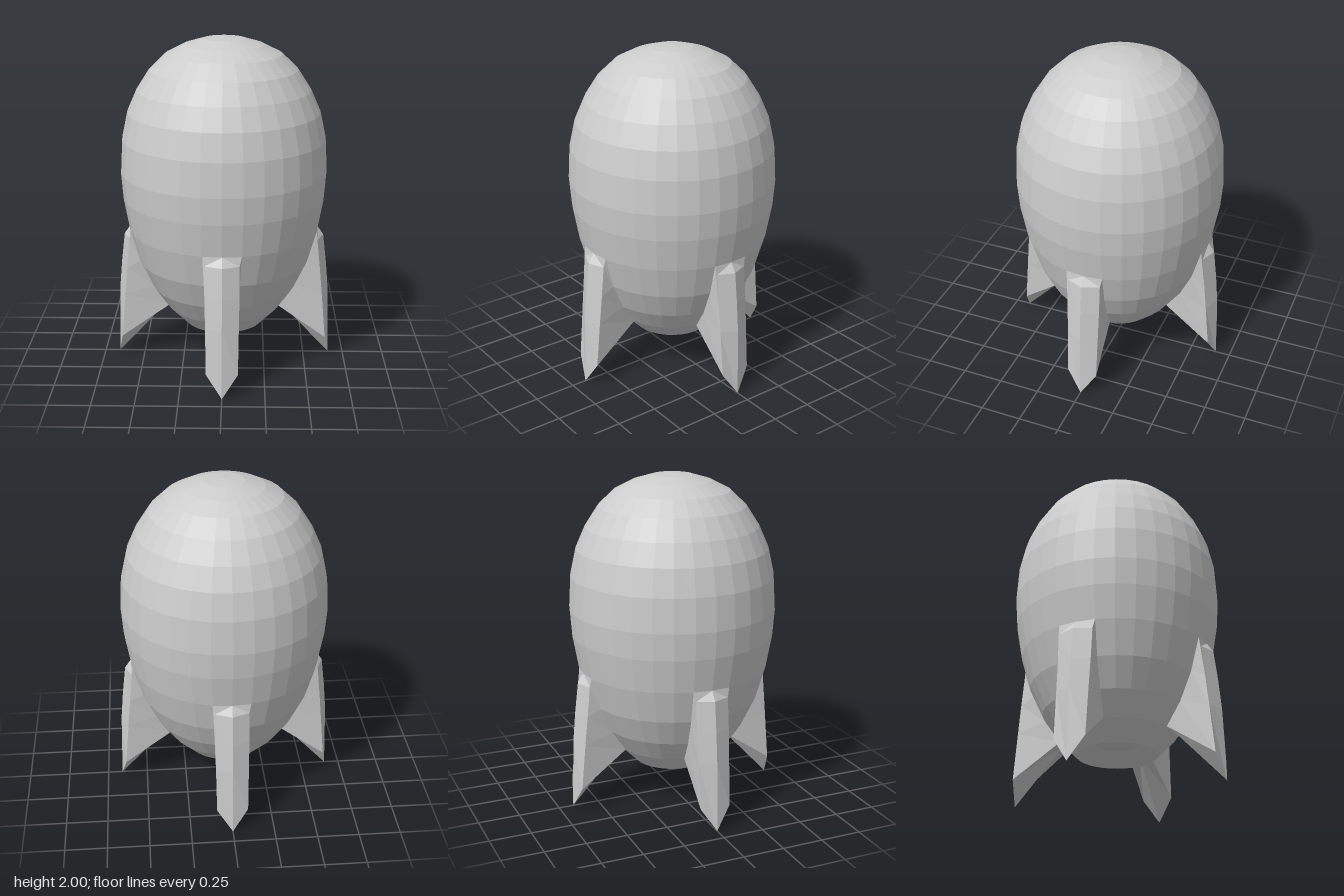
import * as THREE from 'three';

const grey = new THREE.MeshStandardMaterial({ color: 0xcccccc });
grey.name = 'plain grey';

const SEGMENTS = 32;
const RINGS = 16;
const RADIUS = 0.62;
const ringRadius = (k) => RADIUS * Math.sin((k * Math.PI) / RINGS);

// Ring heights of the egg-shaped hull, from the top pole down to the open rim
const RING_Y = [2, 1.99, 1.955, 1.9, 1.81, 1.69, 1.56, 1.4, 1.2, 1.04, 0.84, 0.64, 0.475, 0.34, 0.23];

// Faceted look: every triangle gets its own normal
function faceted(geometry) {
  const flat = geometry.index ? geometry.toNonIndexed() : geometry;
  flat.computeVertexNormals();
  return flat;
}

// Hull with a shallow nozzle recess underneath
function createHull() {
  const points = RING_Y.map((y, k) => new THREE.Vector2(ringRadius(k), y)).reverse();
  points.unshift(new THREE.Vector2(0, 0.3), new THREE.Vector2(ringRadius(15), 0.3));
  const hull = new THREE.Mesh(faceted(new THREE.LatheGeometry(points, SEGMENTS)), grey);
  hull.name = 'hull';
  return hull;
}

// One fin facing +z: it grows from hull rings 10 to 13 to a ridged outer edge
function createFinGeometry() {
  const side = [[0.785, 0.57, 0.1], [0.6, 0.588, 0.1], [0.42, 0.605, 0.097], [0.14, 0.63, 0.093]];
  const ridge = [[0.785, 0.61], [0.6, 0.632], [0.42, 0.648], [0, 0.66]];
  const step = (2 * Math.PI) / SEGMENTS;
  const root = (row, turn) => {
    const r = ringRadius(row + 10);
    return [r * Math.sin(turn * step), RING_Y[row + 10], r * Math.cos(turn * step)];
  };

  // Cross-section of each row, from left root round the ridge to right root
  const rows = side.map(([y, z, w], i) => [
    root(i, -1), [-w, y, z], [0, ridge[i][0], ridge[i][1]], [w, y, z], root(i, 1),
  ]);

  const positions = [];
  const quad = (a, b, c, d) => positions.push(...a, ...b, ...c, ...a, ...c, ...d);
  for (let i = 0; i < rows.length - 1; i++) {
    for (let j = 0; j < 4; j++) {
      quad(rows[i][j], rows[i + 1][j], rows[i + 1][j + 1], rows[i][j + 1]);
    }
  }

  // Sloping top and underside
  const top = rows[0];
  const topRoot = root(0, 0);
  quad(topRoot, top[0], top[1], top[2]);
  quad(topRoot, top[2], top[3], top[4]);
  const bottom = rows[3];
  const bottomRoot = root(3, 0);
  quad(bottomRoot, bottom[2], bottom[1], bottom[0]);
  quad(bottomRoot, bottom[4], bottom[3], bottom[2]);

  const geometry = new THREE.BufferGeometry();
  geometry.setAttribute('position', new THREE.Float32BufferAttribute(positions, 3));
  return faceted(geometry);
}

export function createModel() {
  const model = new THREE.Group();
  model.name = 'finned rocket';
  model.add(createHull());

  // Four fins around the base
  const finGeometry = createFinGeometry();
  ['frontFin', 'leftFin', 'backFin', 'rightFin'].forEach((name, i) => {
    const fin = new THREE.Mesh(finGeometry, grey);
    fin.name = name;
    fin.rotation.y = (i * Math.PI) / 2;
    model.add(fin);
  });
  return model;
}
